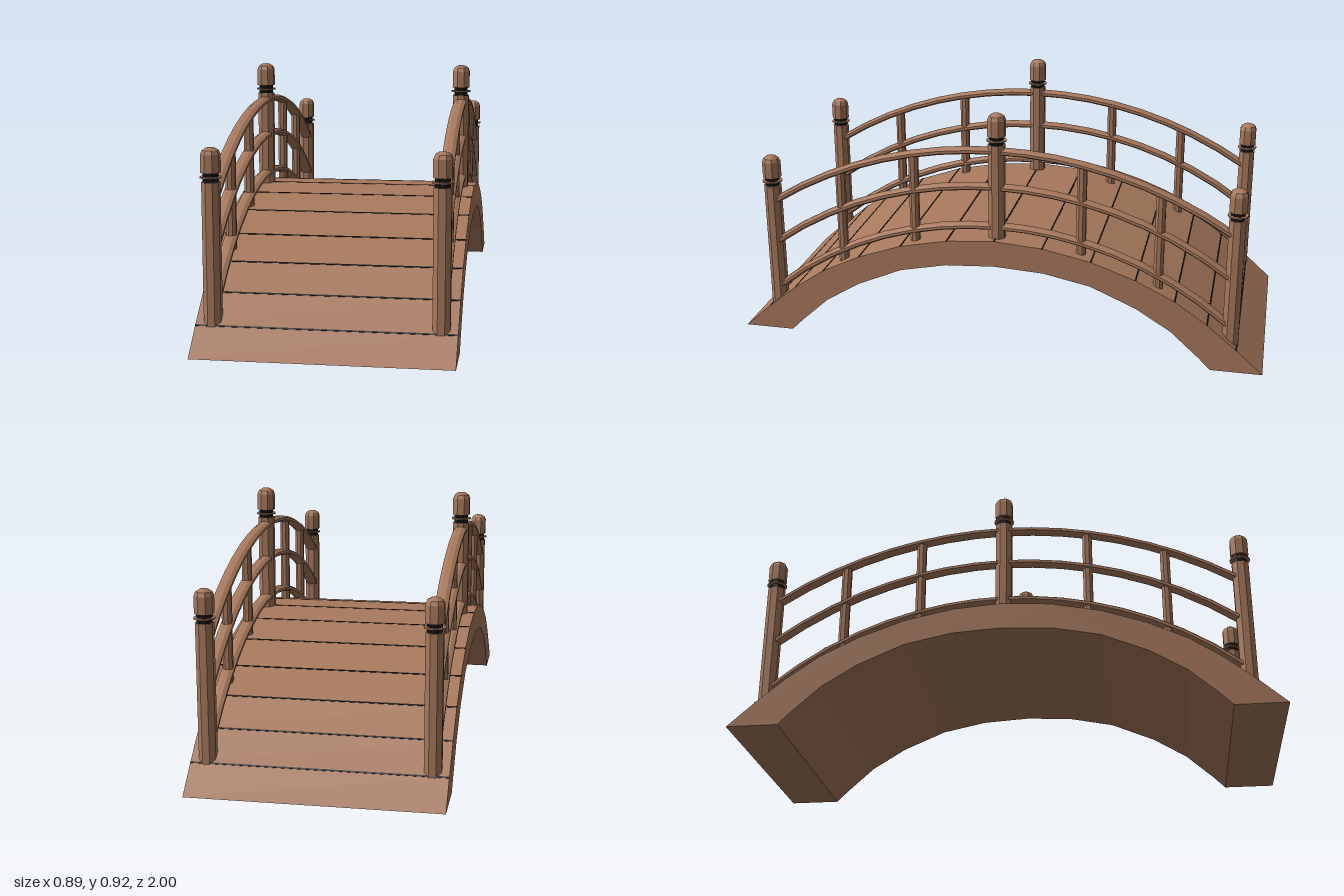
import * as THREE from 'three';

const wood = new THREE.MeshStandardMaterial({ color: 0xa8795d, flatShading: true });
const black = new THREE.MeshStandardMaterial({ color: 0x111111, flatShading: true });

const WIDTH = 0.89, SIDE = 0.388, OCT = Math.cos(Math.PI / 8);

// Half profiles of the arched deck, crown to foot, as [z, y]
const topArc = [[0, 0.44], [0.18, 0.427], [0.36, 0.39], [0.525, 0.332], [0.67, 0.262], [0.79, 0.18], [0.9, 0.09], [1, 0]];
const underArc = [[0, 0.34], [0.185, 0.329], [0.36, 0.293], [0.53, 0.22], [0.66, 0.14], [0.765, 0.045], [0.81, 0]];

function add(parent, name, geometry, material, x = 0, y = 0, z = 0) {
  const mesh = new THREE.Mesh(geometry, material);
  mesh.name = name;
  mesh.position.set(x, y, z);
  parent.add(mesh);
  return mesh;
}

// Upright octagonal piece, flat side to the front; half is half its width across flats
function octagon(half, y0, y1, topHalf = half) {
  const g = new THREE.CylinderGeometry(topHalf / OCT, half / OCT, y1 - y0, 8);
  return g.rotateY(Math.PI / 8).translate(0, (y0 + y1) / 2, 0);
}

// Height at z on a circular arc with its crown at y0, falling by drop at half span
function arcHeight(z, y0, drop, span = 0.865) {
  const r = (span * span + drop * drop) / (2 * drop);
  return y0 - r + Math.sqrt(r * r - z * z);
}

// Handrail: an octagonal bar bent along the arc
function railGeometry(y0, drop) {
  const g = new THREE.CylinderGeometry(1, 1, 2, 8, 16).rotateY(Math.PI / 8);
  const p = g.attributes.position;
  for (let i = 0; i < p.count; i++) {
    const z = p.getY(i) * 0.865, e = 0.001;
    const slope = (arcHeight(z + e, y0, drop, 0.87) - arcHeight(z - e, y0, drop, 0.87)) / (2 * e);
    const n = -p.getZ(i) * 0.0125 / OCT / Math.hypot(1, slope);
    p.setXYZ(i, p.getX(i) * 0.023 / OCT, arcHeight(z, y0, drop, 0.87) + n, z - slope * n);
  }
  g.computeVertexNormals();
  return g;
}

// Post with a black collar, a thin ring and a domed cap
function post(base, neck) {
  const g = new THREE.Group();
  g.name = 'post';
  add(g, 'postShaft', octagon(0.03, base, neck), wood);
  add(g, 'postCollar', octagon(0.025, neck, neck + 0.031), black);
  add(g, 'postRing', new THREE.CylinderGeometry(0.037, 0.037, 0.005, 16), wood, 0, neck + 0.016, 0);
  const profile = [[0, 0.031], [0.032, 0.031], [0.032, 0.093], [0.026, 0.107], [0.014, 0.115], [0, 0.117]];
  const cap = new THREE.LatheGeometry(profile.map(([r, y]) => new THREE.Vector2(r / OCT, y)), 8);
  add(g, 'postCap', cap.rotateY(Math.PI / 8), wood, 0, neck, 0);
  return g;
}

export function createModel() {
  const model = new THREE.Group();
  model.name = 'archedFootbridge';

  // Arched deck, extruded across the width
  const mirror = (arc) => arc.slice(1).map(([z, y]) => [-z, y]).reverse().concat(arc);
  const outline = [...mirror(topArc), ...mirror(underArc).reverse()];
  const shape = new THREE.Shape(outline.map(([z, y]) => new THREE.Vector2(z, y)));
  const deck = new THREE.ExtrudeGeometry(shape, { depth: WIDTH, bevelEnabled: false });
  deck.translate(0, 0, -WIDTH / 2).rotateY(Math.PI / 2);
  add(model, 'deck', deck, wood);

  // Dark seams between the planks
  const joints = mirror(topArc);
  for (let i = 1; i < joints.length - 1; i++) {
    const [z, y] = joints[i];
    const [za, ya] = joints[i - 1], [zb, yb] = joints[i + 1];
    const seam = add(model, 'plankSeam', new THREE.BoxGeometry(WIDTH, 0.004, 0.006), black, 0, y - 0.001, z);
    seam.rotation.x = -Math.atan2(yb - ya, zb - za);
  }

  // Railing on each side
  for (const side of [-1, 1]) {
    const railing = new THREE.Group();
    railing.name = side > 0 ? 'leftRailing' : 'rightRailing';
    railing.position.x = side * SIDE;
    model.add(railing);

    add(railing, 'topRail', railGeometry(0.773, 0.26), wood);
    add(railing, 'middleRail', railGeometry(0.634, 0.288), wood);
    add(railing, 'bottomRail', railGeometry(0.48, 0.32), wood);

    // Tall posts at the crown and both ends
    for (const [z, base, neck] of [[0, 0.42, 0.799], [0.875, 0.086, 0.578], [-0.875, 0.086, 0.578]]) {
      const p = post(base, neck);
      p.position.z = z;
      railing.add(p);
    }

    // Balusters between the posts
    for (const end of [-1, 1]) {
      for (const [z, base] of [[0.315, 0.38], [0.602, 0.27]]) {
        add(railing, 'baluster', octagon(0.0175, base, arcHeight(z, 0.773, 0.26)), wood, 0, 0, end * z);
      }
    }
  }
  return model;
}
